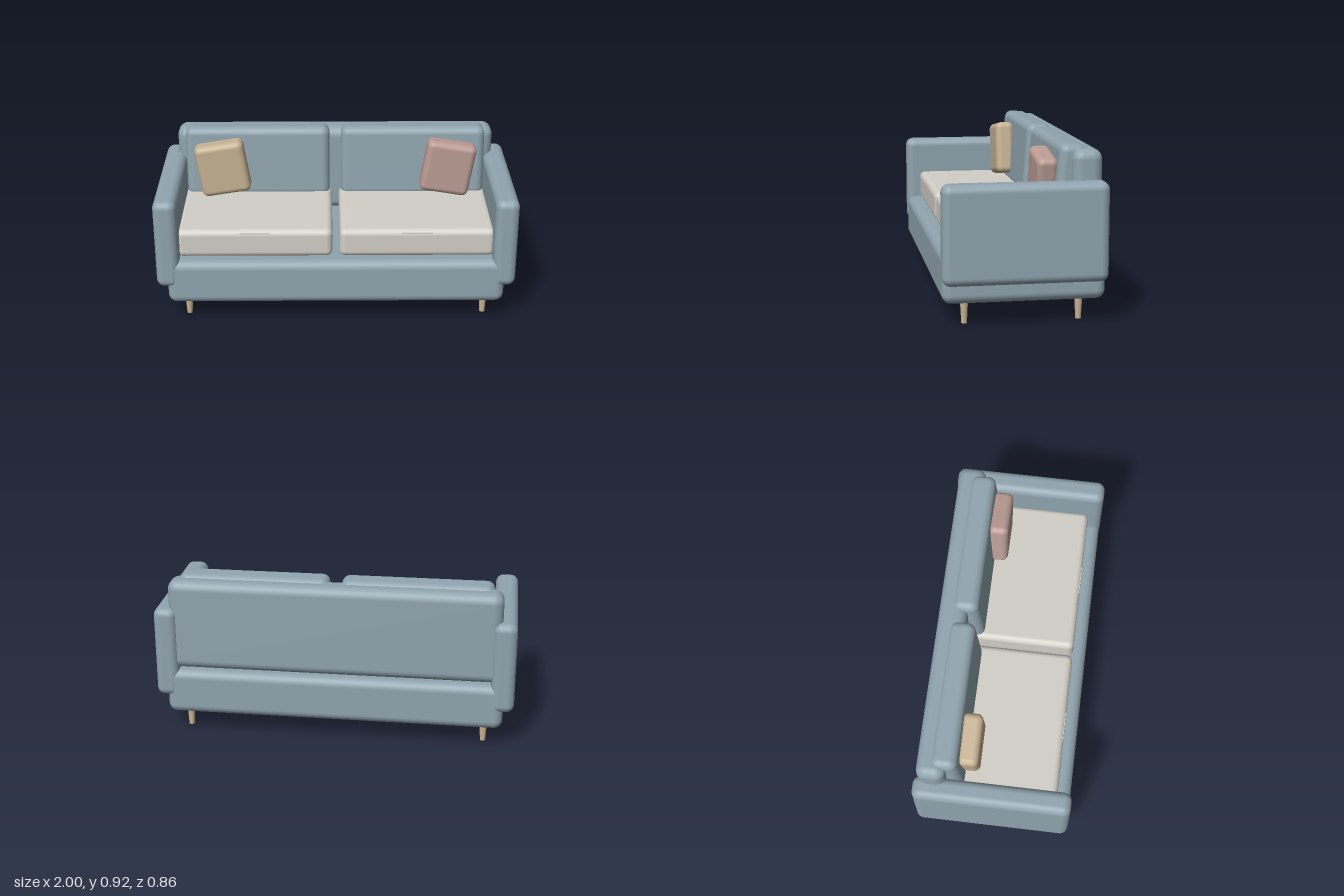
import * as THREE from 'three';
import { RoundedBoxGeometry } from 'three/addons/geometries/RoundedBoxGeometry.js';

const material = (name, color) => {
  const m = new THREE.MeshStandardMaterial({ color });
  m.name = name;
  return m;
};

export function createModel() {
  const sofa = new THREE.Group();
  sofa.name = 'sofa';
  const blue = material('blueGreyFabric', 0x90a4ae);
  const cream = material('creamFabric', 0xd2cfc7);
  const sand = material('sandFabric', 0xc6b293);
  const rose = material('roseFabric', 0xbb9c94);
  const wood = material('paleWood', 0xcab491);

  // Rounded upholstered block given by its extents
  const block = (name, mat, [x0, x1], [y0, y1], [z0, z1], radius) => {
    const geo = new RoundedBoxGeometry(x1 - x0, y1 - y0, z1 - z0, 5, radius);
    const mesh = new THREE.Mesh(geo, mat);
    mesh.name = name;
    mesh.position.set((x0 + x1) / 2, (y0 + y1) / 2, (z0 + z1) / 2);
    sofa.add(mesh);
    return mesh;
  };

  // Frame
  block('base', blue, [-0.94, 0.94], [0.12, 0.38], [-0.427, 0.427], 0.05);
  block('backrest', blue, [-0.92, 0.92], [0.386, 0.902], [-0.41, -0.252], 0.055);

  for (const side of [-1, 1]) {
    const label = side > 0 ? 'left' : 'right';
    const span = (a, b) => (side > 0 ? [a, b] : [-b, -a]);

    block(label + 'Arm', blue, span(0.87, 1), [0.224, 0.745], [-0.431, 0.431], 0.045);
    block(label + 'SeatCushion', cream, span(0.02, 0.885), [0.375, 0.54], [-0.26, 0.352], 0.035);

    // Slim seam tab on the upper front edge of the seat
    const tab = new THREE.Mesh(new THREE.BoxGeometry(0.17, 0.006, 0.02), cream);
    tab.name = label + 'SeatSeam';
    tab.position.set(side * 0.45, 0.522, 0.34);
    sofa.add(tab);

    // Back cushion leaning against the backrest
    const cushion = block(label + 'BackCushion', blue, span(0.033, 0.868),
      [0.505, 0.923], [-0.324, -0.179], 0.045);
    cushion.rotation.x = -0.08;

    // Tilted throw pillow
    const pillow = block(label + 'Pillow', side > 0 ? rose : sand, span(0.51, 0.795),
      [0.552, 0.864], [-0.2, -0.087], 0.035);
    pillow.rotation.z = -side * 0.16;

    // Tapered legs
    for (const z of [-0.301, 0.303]) {
      const leg = new THREE.Mesh(new THREE.CylinderGeometry(0.022, 0.015, 0.13, 20), wood);
      leg.name = label + (z > 0 ? 'FrontLeg' : 'BackLeg');
      leg.position.set(side * 0.837, 0.065, z);
      sofa.add(leg);
    }
  }
  return sofa;
}
